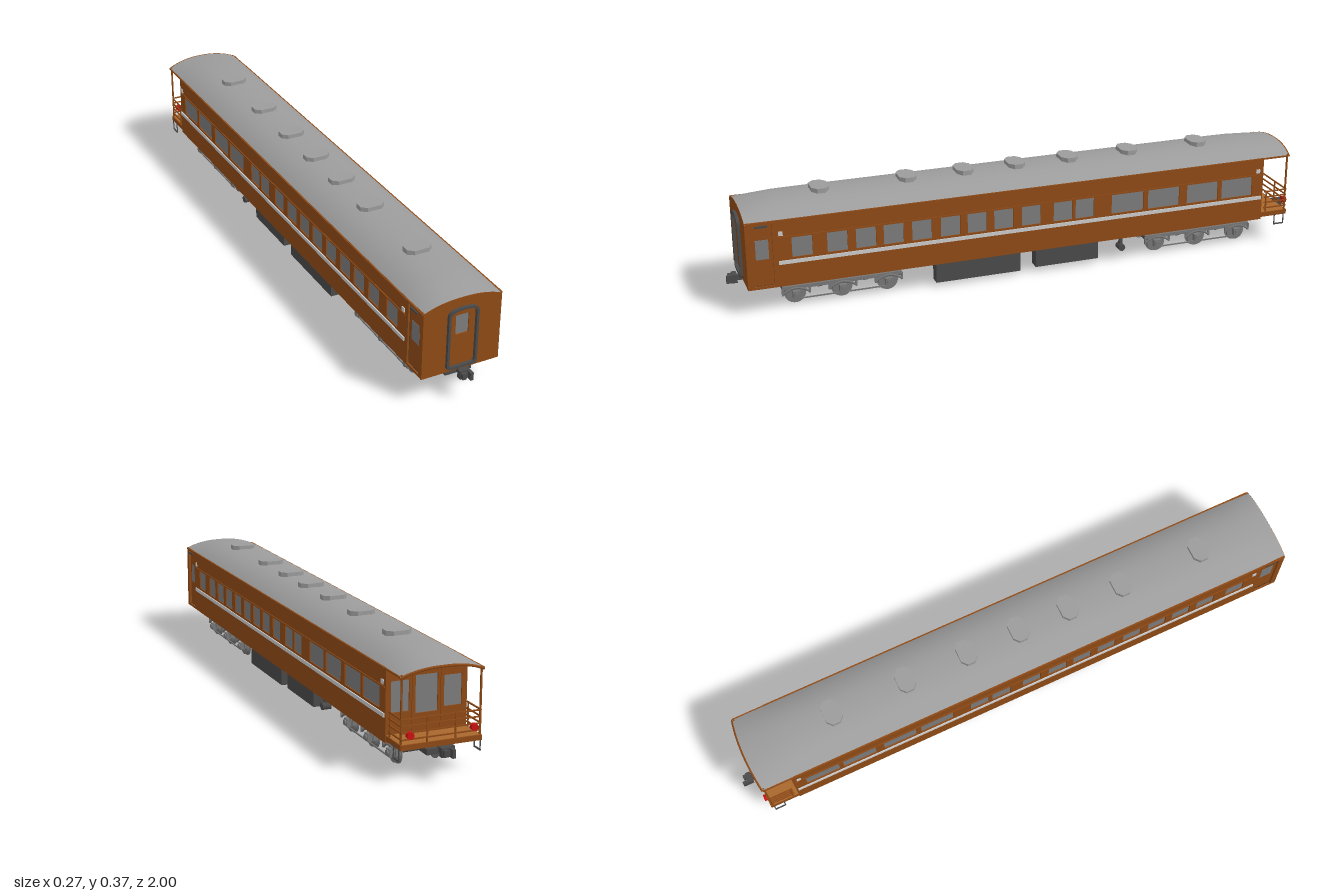
import * as THREE from 'three';

const mat = (color, side = THREE.FrontSide) => new THREE.MeshStandardMaterial({ color, side });
const M = {
  body: mat(0x8f4a16), roof: mat(0x9c9c9c, THREE.DoubleSide), glass: mat(0x7c7c7c), dark: mat(0x4a4a4a),
  under: mat(0x2c2c2c), steel: mat(0x777777), white: mat(0xcccccc), red: mat(0xcc1111), wood: mat(0xa8682c),
};

function add(parent, name, geo, material, x = 0, y = 0, z = 0) {
  const m = new THREE.Mesh(geo, material);
  m.name = name;
  m.position.set(x, y, z);
  parent.add(m);
  return m;
}
const box = (p, name, w, h, d, x, y, z, material) => add(p, name, new THREE.BoxGeometry(w, h, d), material, x, y, z);
// cylinder lying across the car
function axial(p, name, r, len, x, y, z, material, seg = 20) {
  return add(p, name, new THREE.CylinderGeometry(r, r, len, seg).rotateZ(Math.PI / 2), material, x, y, z);
}
function rect(path, x0, y0, x1, y1) {
  path.moveTo(x0, y0);
  path.lineTo(x1, y0);
  path.lineTo(x1, y1);
  path.lineTo(x0, y1);
  path.closePath();
  return path;
}
const extrude = (shape, depth) => new THREE.ExtrudeGeometry(shape, { depth, bevelEnabled: false, curveSegments: 8 });

// upright outline with rounded top corners and lightly rounded bottom corners
function doorway(path, w, y0, y1, r) {
  const b = r * 0.5;
  path.moveTo(-w + b, y0);
  path.lineTo(w - b, y0);
  path.quadraticCurveTo(w, y0, w, y0 + b);
  path.lineTo(w, y1 - r);
  path.quadraticCurveTo(w, y1, w - r * 1.4, y1);
  path.quadraticCurveTo(0, y1 + 0.004, -w + r * 1.4, y1);
  path.quadraticCurveTo(-w, y1, -w, y1 - r);
  path.lineTo(-w, y0 + b);
  path.quadraticCurveTo(-w, y0, -w + b, y0);
  return path;
}

// [centre z, half length]
const windows = [0.773, 0.66, 0.567, 0.476, 0.382, 0.286, 0.195, 0.104, 0.008, -0.104, -0.182].map(z => [z, 0.033])
  .concat([-0.337, -0.47, -0.615, -0.746].map(z => [z, 0.058]));

function sides(car) {
  const wall = rect(new THREE.Shape(), -0.95, 0.092, 0.84, 0.318);
  for (const [z, h] of windows) wall.holes.push(rect(new THREE.Path(), -z - h, 0.187, -z + h, 0.257));
  wall.holes.push(rect(new THREE.Path(), -0.932, 0.1, -0.866, 0.308));
  const geo = extrude(wall, 0.006).rotateY(Math.PI / 2);
  for (const s of [1, -1]) {
    const g = new THREE.Group();
    g.name = s > 0 ? 'leftSide' : 'rightSide';
    car.add(g);
    add(g, 'sideWall', geo, M.body, s > 0 ? 0.125 : -0.131);
    box(g, 'sideGlass', 0.003, 0.08, 1.65, s * 0.1255, 0.222, 0.005, M.glass);
    box(g, 'beltRail', 0.004, 0.012, 1.69, s * 0.133, 0.174, 0.005, M.white);
    box(g, 'windowRail', 0.003, 0.005, 1.69, s * 0.1325, 0.258, 0.005, M.body);
    box(g, 'eavesRail', 0.004, 0.005, 1.78, s * 0.133, 0.315, 0.055, M.body);
    // recessed vestibule door
    box(g, 'sideDoor', 0.004, 0.21, 0.068, s * 0.121, 0.203, 0.899, M.body);
    box(g, 'sideDoorGlass', 0.002, 0.065, 0.042, s * 0.1235, 0.222, 0.899, M.glass);
    box(g, 'doorPlate', 0.003, 0.007, 0.04, s * 0.1325, 0.302, 0.9, M.dark);
    for (const z of [0.84, -0.825]) box(g, 'markerPlate', 0.003, 0.014, 0.014, s * 0.1325, 0.272, z, M.white);
  }
}

function endWall(car, name, z, holes) {
  const s = new THREE.Shape();
  s.moveTo(-0.131, 0.092);
  s.lineTo(0.131, 0.092);
  s.lineTo(0.131, 0.315);
  s.quadraticCurveTo(0.09, 0.338, 0, 0.339);
  s.quadraticCurveTo(-0.09, 0.338, -0.131, 0.315);
  for (const h of holes) s.holes.push(rect(new THREE.Path(), ...h));
  add(car, name, extrude(s, 0.006), M.body, 0, 0, z);
}

function ends(car) {
  // front end with gangway frame and door
  endWall(car, 'frontWall', 0.945, [[-0.022, 0.215, 0.022, 0.282]]);
  box(car, 'frontDoorGlass', 0.05, 0.075, 0.002, 0, 0.2485, 0.946, M.glass);
  const frame = doorway(new THREE.Shape(), 0.051, 0.103, 0.308, 0.025);
  frame.holes.push(doorway(new THREE.Path(), 0.043, 0.111, 0.301, 0.022));
  add(car, 'gangwayFrame', extrude(frame, 0.012), M.dark, 0, 0, 0.949);
  // rear end behind the open platform
  endWall(car, 'rearWall', -0.846, [[-0.114, 0.18, -0.056, 0.275], [-0.036, 0.17, 0.036, 0.285], [0.056, 0.18, 0.114, 0.275]]);
  box(car, 'rearGlass', 0.24, 0.13, 0.002, 0, 0.228, -0.841, M.glass);
  for (const x of [-0.046, 0.046]) box(car, 'rearDoorPost', 0.004, 0.2, 0.004, x, 0.2, -0.847, M.body);
}

// roof: arched sections that drop towards both ends, the rear edge slightly bowed
function roof(car) {
  const rows = [[0.95, 0.025], [0.9, 0.033], [0.83, 0.041], [0.7, 0.042], [-0.7, 0.042], [-0.8, 0.041], [-0.88, 0.034], [-0.945, 0.025]];
  const n = 24;
  const skin = (base, lift, w) => {
    const geo = new THREE.PlaneGeometry(1, 1, n, rows.length - 1);
    const p = geo.attributes.position;
    rows.forEach(([z, rise], r) => {
      for (let i = 0; i <= n; i++) {
        const t = -Math.cos(Math.PI * i / n);
        const bow = z < -0.9 ? 0.01 * (1 - t * t) : 0;
        p.setXYZ(r * (n + 1) + i, t * w, base + (rise + lift) * (1 - Math.abs(t) ** 2.4), z - bow);
      }
    });
    const index = geo.index.array;
    for (let i = 0; i < index.length; i += 3) [index[i], index[i + 1]] = [index[i + 1], index[i]];
    geo.computeVertexNormals();
    return geo;
  };
  add(car, 'roof', skin(0.315, 0, 0.134), M.roof);
  for (const s of [1, -1]) box(car, 'gutter', 0.004, 0.005, 1.89, s * 0.132, 0.315, 0.003, M.body);
  // edge trim of the rear canopy
  const pts = [];
  for (let i = 0; i <= 12; i++) {
    const t = i / 6 - 1;
    pts.push(new THREE.Vector3(t * 0.131, 0.313 + 0.024 * (1 - Math.abs(t) ** 2.4), -0.943 - 0.01 * (1 - t * t)));
  }
  add(car, 'canopyTrim', new THREE.TubeGeometry(new THREE.CatmullRomCurve3(pts), 24, 0.004, 6), M.body);
  // ventilators
  const v = new THREE.Shape();
  [[0.042, 0.013], [0.024, 0.029], [-0.024, 0.029], [-0.042, 0.013], [-0.042, -0.013], [-0.024, -0.029], [0.024, -0.029], [0.042, -0.013]]
    .forEach(([x, y], i) => (i ? v.lineTo(x, y) : v.moveTo(x, y)));
  const ventGeo = extrude(v, 0.021).rotateX(-Math.PI / 2);
  for (const z of [0.685, 0.395, 0.2, 0.02, -0.167, -0.385, -0.643]) add(car, 'roofVent', ventGeo, M.roof, 0, 0.349, z);
}

function platform(car) {
  const g = new THREE.Group();
  g.name = 'rearPlatform';
  car.add(g);
  box(g, 'deck', 0.256, 0.006, 0.1, 0, 0.113, -0.892, M.wood);
  box(g, 'deckEdge', 0.256, 0.016, 0.005, 0, 0.107, -0.943, M.body);
  for (const s of [1, -1]) {
    box(g, 'deckSide', 0.004, 0.016, 0.1, s * 0.128, 0.107, -0.895, M.body);
    box(g, 'cornerPost', 0.005, 0.21, 0.005, s * 0.126, 0.215, -0.938, M.body);
    box(g, 'railPost', 0.004, 0.08, 0.004, s * 0.045, 0.153, -0.942, M.body);
    box(g, 'sidePost', 0.004, 0.08, 0.004, s * 0.126, 0.153, -0.865, M.body);
    for (const y of [0.13, 0.15, 0.17, 0.19]) box(g, 'sideRail', 0.004, 0.004, 0.085, s * 0.126, y, -0.9, M.body);
    axial(g, 'tailLamp', 0.011, 0.014, s * 0.102, 0.143, -0.947, M.red, 16).rotation.y = Math.PI / 2;
    // hanging step
    for (const z of [-0.9, -0.935]) box(g, 'stepHanger', 0.003, 0.04, 0.003, s * 0.13, 0.085, z, M.dark);
    box(g, 'stepTread', 0.004, 0.004, 0.038, s * 0.13, 0.066, -0.9175, M.dark);
  }
  for (const y of [0.13, 0.15, 0.17, 0.19]) box(g, 'endRail', 0.252, 0.004, 0.004, 0, y, -0.942, M.body);
}

function bogie(car, z0) {
  const g = new THREE.Group();
  g.name = 'bogie';
  g.position.z = z0;
  car.add(g);
  const axles = [-0.153, 0, 0.153];
  for (const z of axles) {
    axial(g, 'axle', 0.006, 0.15, 0, 0.036, z, M.dark, 12);
    for (const s of [1, -1]) {
      axial(g, 'wheel', 0.032, 0.012, s * 0.067, 0.036, z, M.steel, 28);
      axial(g, 'wheelFlange', 0.036, 0.004, s * 0.061, 0.036, z, M.steel, 28);
      box(g, 'axleBox', 0.016, 0.024, 0.024, s * 0.082, 0.036, z, M.steel);
      axial(g, 'axleCap', 0.009, 0.006, s * 0.092, 0.036, z, M.steel, 14);
      const spring = new THREE.QuadraticBezierCurve3(
        new THREE.Vector3(s * 0.083, 0.04, z - 0.045), new THREE.Vector3(s * 0.083, 0.078, z), new THREE.Vector3(s * 0.083, 0.04, z + 0.045));
      add(g, 'leafSpring', new THREE.TubeGeometry(spring, 10, 0.004, 6), M.steel);
      for (const e of [-1, 1]) box(g, 'springHanger', 0.007, 0.025, 0.006, s * 0.083, 0.05, z + e * 0.044, M.steel);
    }
  }
  for (const s of [1, -1]) {
    box(g, 'sideFrame', 0.008, 0.012, 0.395, s * 0.08, 0.061, 0, M.steel);
    box(g, 'tieRod', 0.004, 0.004, 0.31, s * 0.084, 0.022, 0, M.steel);
  }
  for (const z of [-0.19, -0.075, 0.075, 0.19]) box(g, 'crossBeam', 0.158, 0.01, 0.014, 0, 0.056, z, M.dark);
  box(g, 'bolster', 0.05, 0.035, 0.17, 0, 0.074, 0, M.under);
}

function underframe(car) {
  box(car, 'floor', 0.25, 0.008, 1.79, 0, 0.096, 0.053, M.under);
  box(car, 'platformFloor', 0.25, 0.006, 0.1, 0, 0.101, -0.892, M.under);
  for (const s of [1, -1]) {
    box(car, 'largeEquipmentBox', 0.036, 0.078, 0.294, s * 0.084, 0.053, 0.182, M.dark);
    box(car, 'smallEquipmentBox', 0.036, 0.074, 0.225, s * 0.084, 0.056, -0.132, M.dark);
    axial(car, 'valve', 0.012, 0.03, s * 0.095, 0.048, -0.33, M.dark, 14);
    box(car, 'valveHanger', 0.01, 0.045, 0.012, s * 0.095, 0.075, -0.33, M.dark);
  }
  for (const z of [-0.23, -0.27]) box(car, 'controlBox', 0.035, 0.025, 0.022, 0, 0.082, z, M.dark);
  // couplers at both ends
  for (const s of [1, -1]) {
    const g = new THREE.Group();
    g.name = s > 0 ? 'frontCoupler' : 'rearCoupler';
    if (s < 0) g.rotation.y = Math.PI;
    car.add(g);
    box(g, 'drawgearBox', 0.09, 0.018, 0.085, 0, 0.083, 0.9, M.dark);
    box(g, 'shank', 0.016, 0.016, 0.06, 0, 0.088, 0.955, M.dark);
    box(g, 'couplerHead', 0.034, 0.028, 0.016, 0, 0.089, 0.973, M.dark);
    box(g, 'couplerJaw', 0.01, 0.026, 0.02, 0.012, 0.089, 0.99, M.dark);
    box(g, 'knuckle', 0.014, 0.02, 0.012, -0.008, 0.089, 0.986, M.dark);
  }
}

export function createModel() {
  const car = new THREE.Group();
  car.name = 'railwayCarriage';
  sides(car);
  ends(car);
  roof(car);
  platform(car);
  underframe(car);
  bogie(car, 0.638);
  bogie(car, -0.626);
  return car;
}
